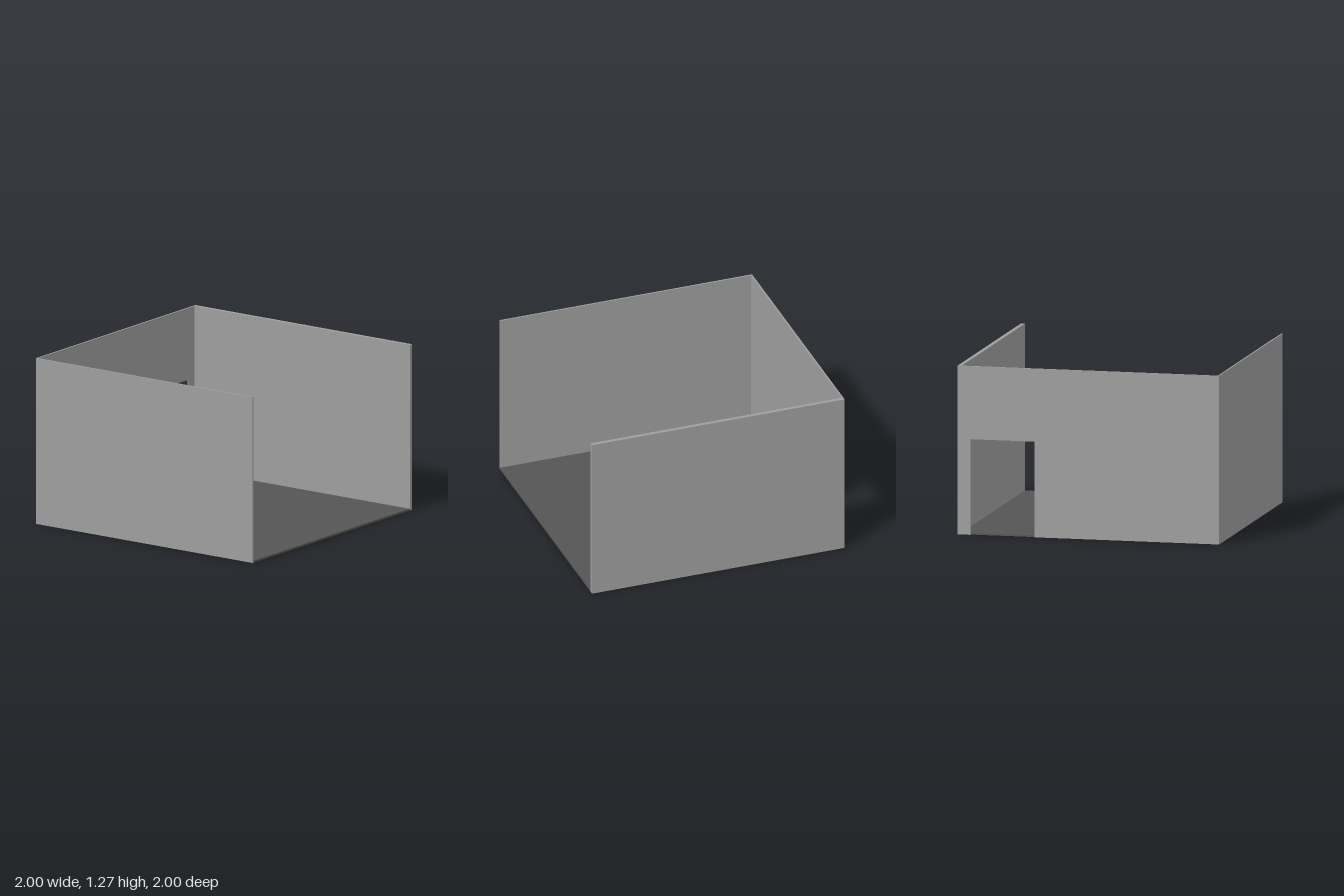
import * as THREE from 'three';

const HEIGHT = 1.27;
const THIN = 0.012;   // front and left walls, floor
const THICK = 0.03;   // back wall

export function createModel() {
  const room = new THREE.Group();
  room.name = 'room';

  const wallGrey = new THREE.MeshStandardMaterial({ color: 0x9e9e9e });
  wallGrey.name = 'wall grey';
  const floorGrey = new THREE.MeshStandardMaterial({ color: 0x555555 });
  floorGrey.name = 'floor dark grey';

  // Adds a box given by its lowest and highest corners
  const addBox = (name, material, min, max) => {
    const size = max.map((v, i) => v - min[i]);
    const mesh = new THREE.Mesh(new THREE.BoxGeometry(...size), material);
    mesh.position.set(...max.map((v, i) => (v + min[i]) / 2));
    mesh.name = name;
    room.add(mesh);
  };

  // Floor lies between the walls and is open on the right (+x) side
  addBox('floor', floorGrey, [-1 + THIN, 0, -1 + THICK], [1, 0.014, 1 - THIN]);
  addBox('frontWall', wallGrey, [-1, 0, 1 - THIN], [1, HEIGHT, 1]);
  addBox('backWall', wallGrey, [-1, 0, -1], [1, HEIGHT, -1 + THICK]);

  // Side wall outline (z, y) with a doorway cut up from the ground
  const outline = [
    [-1 + THICK, 0], [-0.9, 0], [-0.9, 0.72], [-0.41, 0.72], [-0.41, 0],
    [1 - THIN, 0], [1 - THIN, HEIGHT], [-1 + THICK, HEIGHT],
  ].map(([z, y]) => new THREE.Vector2(z, y));
  const sideGeometry = new THREE.ExtrudeGeometry(new THREE.Shape(outline), {
    depth: THIN, bevelEnabled: false,
  });
  sideGeometry.rotateY(-Math.PI / 2);
  const sideWall = new THREE.Mesh(sideGeometry, wallGrey);
  sideWall.position.x = -1 + THIN;
  sideWall.name = 'doorwayWall';
  room.add(sideWall);

  return room;
}
